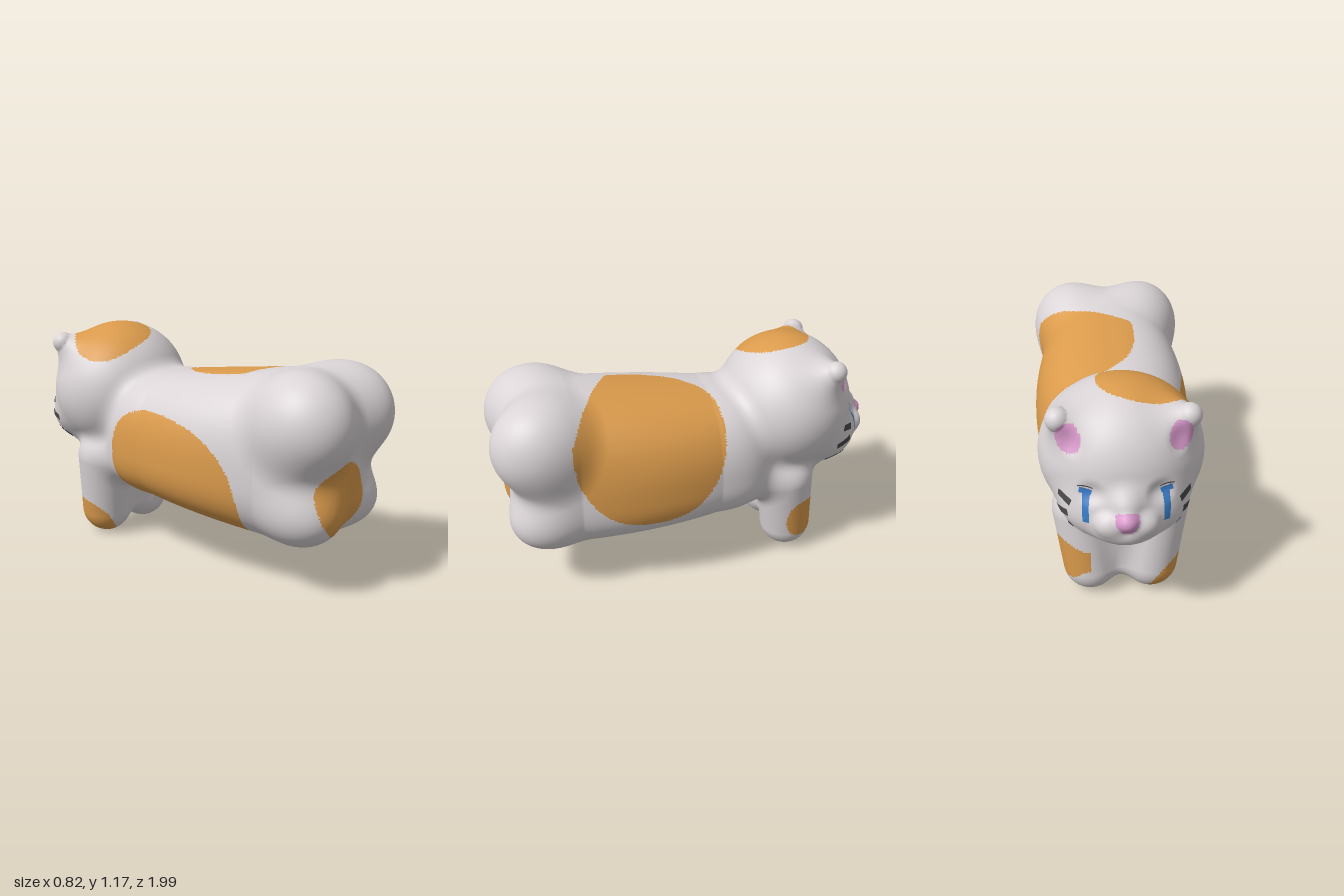
import * as THREE from 'three';

const mat = (name, color) => Object.assign(new THREE.MeshStandardMaterial({ color }), { name });
const white = mat('white fur', 0xdad4d6);
const orange = mat('orange patch', 0xdb9b4c);
const pink = mat('pink skin', 0xd99acb);
const blue = mat('blue tears', 0x3a7cc6);
const dark = mat('dark whisker', 0x4a4a4c);

// Distance functions for the soft body shapes
const len = (a, b, c) => Math.sqrt(a * a + b * b + c * c);
const ball = (cx, cy, cz, rx, ry, rz) => (x, y, z) => {
  const a = (x - cx) / rx, b = (y - cy) / ry, c = (z - cz) / rz;
  const k0 = len(a, b, c), k1 = len(a / rx, b / ry, c / rz);
  return k1 < 1e-6 ? -Math.min(rx, ry, rz) : k0 * (k0 - 1) / k1;
};
const limb = (a, ra, b, rb) => {
  const d = [b[0] - a[0], b[1] - a[1], b[2] - a[2]];
  const len2 = d[0] * d[0] + d[1] * d[1] + d[2] * d[2];
  return (x, y, z) => {
    const px = x - a[0], py = y - a[1], pz = z - a[2];
    const t = Math.min(1, Math.max(0, (px * d[0] + py * d[1] + pz * d[2]) / len2));
    return len(px - d[0] * t, py - d[1] * t, pz - d[2] * t) - (ra + (rb - ra) * t);
  };
};
// Long full trunk, widest below its middle, with rounded ends
const trunk = (x, y, z) => {
  const c = Math.min(0.6, Math.max(-0.1, z));
  const hx = 0.412 - 0.33 * (c - 0.22) ** 2;
  const up = y - 0.56, hy = up > 0 ? 0.413 + 0.13 * c : 0.28 + 0.09 * c;
  const end = z > c ? (z - c) / 0.32 : (c - z) / 0.38;
  const n = 2.5;
  return ((Math.abs(x / hx) ** n + Math.abs(up / hy) ** n + end ** n) ** (1 / n) - 1) * 0.35;
};
const smin = (a, b, k) => {
  const h = Math.max(k - Math.abs(a - b), 0) / k;
  return Math.min(a, b) - h * h * k / 4;
};

// Parts in blending order: name, shape, blend width
const parts = [
  ['trunk', trunk, 0.05],
  ['trunk', ball(0, 0.5, -0.4, 0.27, 0.18, 0.2), 0.1],
  ['rump', ball(0, 0.82, 0.71, 0.28, 0.232, 0.215), 0.06],
  ['rump', ball(0, 0.42, 0.72, 0.26, 0.15, 0.17), 0.06],
  ['chest', limb([0, 0.42, -0.51], 0.12, [0, 0.16, -0.53], 0.085), 0.05],
];
const hollows = [];
for (const [side, s] of [['left', 1], ['right', -1]]) {
  parts.push(
    [side + 'Haunch', ball(s * 0.195, 0.83, 0.75, 0.217, 0.242, 0.245), 0.09],
    [side + 'HindFoot', ball(s * 0.19, 0.41, 0.775, 0.14, 0.13, 0.155), 0.12],
    [side + 'ForeLeg', limb([s * 0.185, 0.46, -0.51], 0.147, [s * 0.15, 0.14, -0.543], 0.136), 0.07],
  );
}
parts.push(
  ['head', ball(0, 0.82, -0.545, 0.382, 0.355, 0.345), 0.06],
  ['throat', ball(0, 0.54, -0.62, 0.2, 0.11, 0.13), 0.08],
  ['muzzle', ball(0, 0.66, -0.755, 0.27, 0.165, 0.175), 0.1],
  ['muzzle', ball(0, 0.625, -0.865, 0.13, 0.075, 0.1), 0.06],
  ['muzzle', ball(0, 0.75, -0.87, 0.06, 0.07, 0.085), 0.07],
);
for (const [side, s] of [['left', 1], ['right', -1]]) {
  parts.push(
    [side + 'Ear', limb([s * 0.18, 0.98, -0.63], 0.155, [s * 0.285, 1.078, -0.7], 0.055), 0.07],
    ['muzzle', ball(s * 0.07, 0.675, -0.92, 0.066, 0.055, 0.052), 0.035],
  );
  hollows.push(
    ball(s * 0.25, 1.02, -0.81, 0.045, 0.06, 0.05),
    ball(s * 0.17, 0.81, -0.9, 0.06, 0.04, 0.045),
  );
}
parts.push(['nose', ball(0, 0.71, -0.952, 0.045, 0.042, 0.046), 0.025]);

const field = (x, y, z) => {
  let d = 1;
  for (const [, f, k] of parts) d = smin(d, f(x, y, z), k);
  if (z < -0.7) for (const f of hollows) d = -smin(-d, f(x, y, z), 0.04);
  return d;
};
const gradient = (x, y, z) => {
  const e = 0.003;
  return new THREE.Vector3(
    field(x + e, y, z) - field(x - e, y, z),
    field(x, y + e, z) - field(x, y - e, z),
    field(x, y, z + e) - field(x, y, z - e)).divideScalar(2 * e);
};
// Move a point onto the skin
const project = (p, steps) => {
  for (let i = 0; i < steps; i++) {
    const g = gradient(p.x, p.y, p.z);
    p.addScaledVector(g, -field(p.x, p.y, p.z) / Math.max(g.lengthSq(), 0.2));
  }
  return p;
};

// Which colour the fur has at a point
const inside = (u, v, n = 2) => Math.abs(u) ** n + Math.abs(v) ** n < 1;
function paint(part, { x, y, z }) {
  if (part === 'nose') return pink;
  if (/Ear|head/.test(part)) {
    if (z < -0.7 && inside((Math.abs(x) - 0.245) / 0.055, (y - 1.017) / 0.066)) return pink;
    if (y > 0.98 && inside((x + 0.1) / 0.215, (z + 0.505) / 0.18, 2.2)) return orange;
    return white;
  }
  if (/muzzle|throat/.test(part)) return white;
  if (/ForeLeg|chest/.test(part)) {
    if (x > 0.15 && inside((z + 0.59) / 0.092, (y - 0.225) / 0.118, 2.3)) return orange;
    if (len(x + 0.28, y - 0.05, z + 0.58) < 0.165) return orange;
    return white;
  }
  if (z > 0.7 && inside((x + 0.1) / 0.182, (y - 0.49) / 0.175, 2.2)) return orange;
  const a = Math.atan2(y - 0.63, x), b = Math.atan2(y - 0.63, -x);
  if (z < 0.63 - 0.2 * Math.max(0, a - 0.6) && inside((z - 0.25) / 0.38, (a - 0.7) / 1.2, 2.4)) return orange;
  if (inside((z - 0.11) / 0.41, (b + 0.6 + 0.5 * (z - 0.12)) / 1.02, 2.8)) return orange;
  return white;
}

// Skin the blended shapes on a grid, then sort the faces by part and colour
function buildSkin(group) {
  const h = 0.0125, lo = [-0.48, -0.05, -1.04], n = [78, 103, 167];
  const id = (i, j, k) => (i * n[1] + j) * n[2] + k;
  const val = new Float32Array(n[0] * n[1] * n[2]).fill(1);
  const each = (m, fn) => {
    for (let i = m; i < n[0] - 1; i++)
      for (let j = m; j < n[1] - 1; j++)
        for (let k = m; k < n[2] - 1; k++) fn(i, j, k);
  };
  each(0, (i, j, k) => { val[id(i, j, k)] = field(lo[0] + i * h, lo[1] + j * h, lo[2] + k * h); });

  const verts = new Map();
  each(0, (i, j, k) => {
    let sx = 0, sy = 0, sz = 0, count = 0;
    for (let c = 0; c < 8; c++) {
      const x = c & 1, y = (c >> 1) & 1, z = c >> 2;
      const a = val[id(i + x, j + y, k + z)];
      for (let ax = 0; ax < 3; ax++) {
        if ((c >> ax) & 1) continue;
        const e = [0, 0, 0];
        e[ax] = 1;
        const b = val[id(i + x + e[0], j + y + e[1], k + z + e[2])];
        if ((a < 0) === (b < 0)) continue;
        const t = a / (a - b);
        sx += x + e[0] * t;
        sy += y + e[1] * t;
        sz += z + e[2] * t;
        count++;
      }
    }
    if (!count) return;
    const p = new THREE.Vector3(lo[0] + (i + sx / count) * h, lo[1] + (j + sy / count) * h, lo[2] + (k + sz / count) * h);
    project(p, 1);
    verts.set(id(i, j, k), { p, n: gradient(p.x, p.y, p.z).normalize() });
  });

  const buckets = new Map();
  const suffix = new Map([[white, ''], [orange, 'Patch'], [pink, 'Skin']]);
  const addFace = (...tri) => {
    const c = new THREE.Vector3();
    tri.forEach((v) => c.addScaledVector(v.p, 1 / 3));
    let best = Infinity, part;
    for (const [name, f] of parts) {
      const d = f(c.x, c.y, c.z);
      if (d < best) { best = d; part = name; }
    }
    const material = paint(part, c), key = part + suffix.get(material);
    if (!buckets.has(key)) buckets.set(key, { material, pos: [], nor: [] });
    const b = buckets.get(key);
    for (const v of tri) { b.pos.push(...v.p); b.nor.push(...v.n); }
  };
  const step = [id(1, 0, 0), id(0, 1, 0), 1];
  each(1, (i, j, k) => {
    const o = id(i, j, k), solid = val[o] < 0;
    for (let ax = 0; ax < 3; ax++) {
      if (solid === (val[o + step[ax]] < 0)) continue;
      const u = step[(ax + 1) % 3], v = step[(ax + 2) % 3];
      const q = [o - u - v, o - v, o, o - u].map((e) => verts.get(e));
      if (!solid) q.reverse();
      addFace(q[0], q[1], q[2]);
      addFace(q[0], q[2], q[3]);
    }
  });
  for (const [name, { material, pos, nor }] of buckets) group.add(makeMesh(name, material, pos, nor));
}

function makeMesh(name, material, pos, nor, index = null) {
  const geo = new THREE.BufferGeometry();
  geo.setAttribute('position', new THREE.Float32BufferAttribute(pos, 3));
  geo.setAttribute('normal', new THREE.Float32BufferAttribute(nor, 3));
  geo.setIndex(index);
  return Object.assign(new THREE.Mesh(geo, material), { name });
}

// Thin painted stroke lying on the skin
function stroke(name, material, points, width) {
  const curve = new THREE.CatmullRomCurve3(points.map((p) => project(new THREE.Vector3(...p), 6)));
  const pos = [], nor = [], index = [], N = 14;
  for (let i = 0; i <= N; i++) {
    const c = curve.getPoint(i / N), nrm = gradient(c.x, c.y, c.z).normalize();
    const across = curve.getTangent(i / N).cross(nrm).normalize();
    for (let j = -1; j <= 1; j++) {
      const p = project(c.clone().addScaledVector(across, j * width / 2), 3);
      const m = gradient(p.x, p.y, p.z).normalize();
      pos.push(...p.addScaledVector(m, 0.004));
      nor.push(...m);
    }
    if (i < N) for (const a of [i * 3, i * 3 + 1]) index.push(a, a + 1, a + 3, a + 1, a + 4, a + 3);
  }
  return makeMesh(name, material, pos, nor, index);
}

export function createModel() {
  const group = new THREE.Group();
  group.name = 'lyingCat';
  dark.side = blue.side = THREE.DoubleSide;
  buildSkin(group);

  // Eyes, tears and whiskers on both sides
  for (const [side, s] of [['left', 1], ['right', -1]]) {
    group.add(
      stroke(side + 'Eye', blue, [[s * 0.15, 0.8, -0.86], [s * 0.175, 0.806, -0.85], [s * 0.2, 0.81, -0.835]], 0.028),
      stroke(side + 'Tear', blue, [[s * 0.172, 0.8, -0.85], [s * 0.172, 0.74, -0.87], [s * 0.172, 0.67, -0.89]], 0.032),
      stroke(side + 'Eyelid', dark, [[s * 0.145, 0.823, -0.86], [s * 0.175, 0.832, -0.85], [s * 0.205, 0.828, -0.83]], 0.006),
    );
    const whiskers = [
      [[0.285, 0.755, -0.77], [0.25, 0.738, -0.85]],
      [[0.28, 0.66, -0.74], [0.255, 0.678, -0.835]],
      [[0.215, 0.562, -0.71], [0.235, 0.6, -0.805]],
    ];
    whiskers.forEach(([a, b], i) => {
      const mid = a.map((v, j) => (v + b[j]) / 2);
      group.add(stroke(side + 'Whisker' + (i + 1), dark, [a, mid, b].map(([x, y, z]) => [s * x, y, z]), 0.034));
    });
  }
  return group;
}
